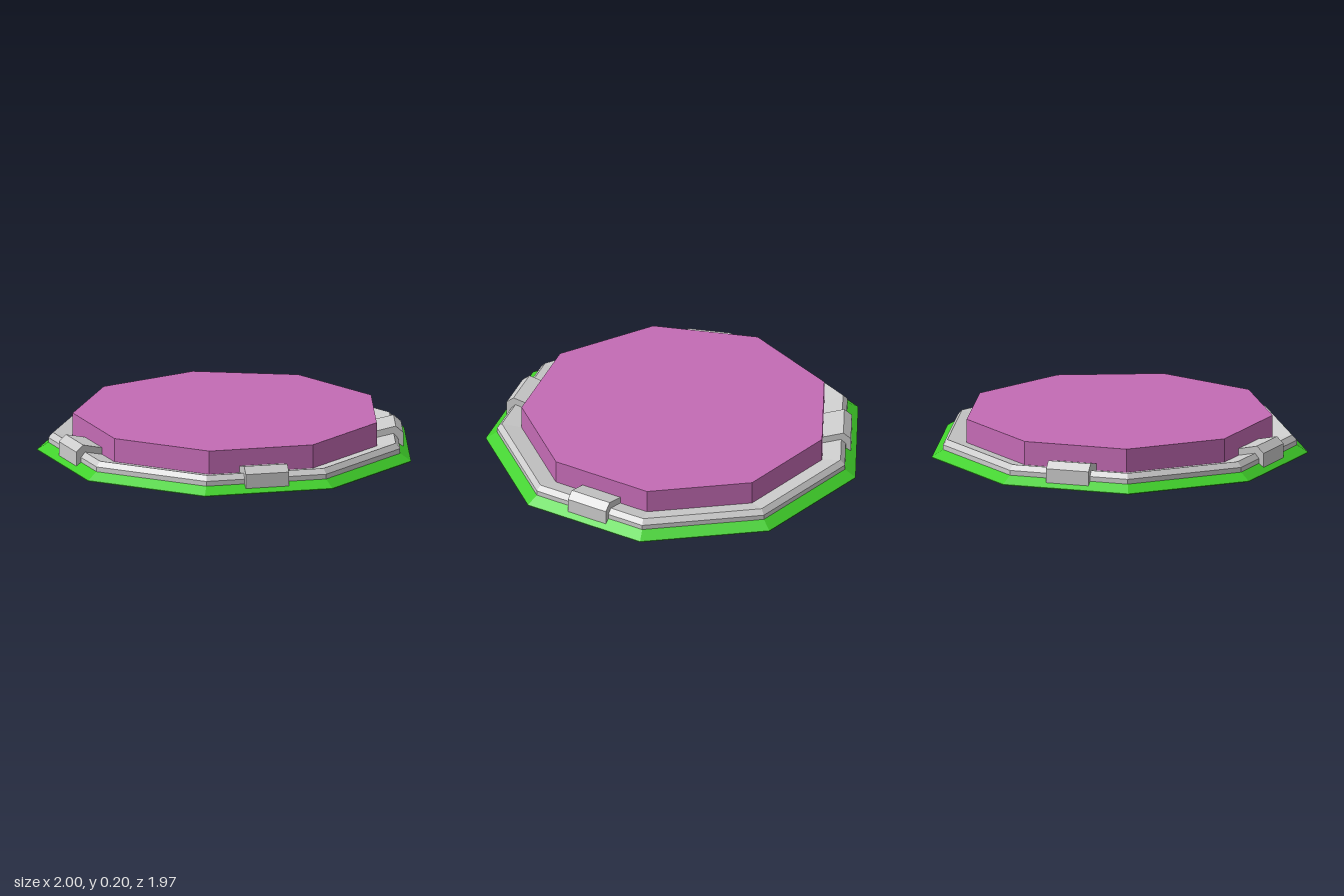
import * as THREE from 'three';

const SIDES = 9;
const CENTRE_Z = 0.03; // a nine-sided ring is not symmetric front to back

const material = (color) => new THREE.MeshStandardMaterial({ color, flatShading: true });

// Nine-sided turned part from [radius, y] pairs, with a corner at the back
function ring(name, profile, mat) {
  const points = profile.map(([r, y]) => new THREE.Vector2(r, y));
  const mesh = new THREE.Mesh(new THREE.LatheGeometry(points, SIDES, Math.PI), mat);
  mesh.name = name;
  return mesh;
}

export function createModel() {
  const model = new THREE.Group();
  model.name = 'platform';
  const body = new THREE.Group();
  body.name = 'body';
  body.position.z = CENTRE_Z;
  model.add(body);

  const grey = material(0xcccccc);
  const green = material(0x40d02a);
  const pink = material(0xc46bb5);

  // Grey underside and sloping green skirt around it
  body.add(ring('underside', [[0, 0], [0.965, 0]], grey));
  body.add(ring('skirt', [[0.965, 0], [1.015, 0], [1.015, 0.004], [0.95, 0.045]], green));

  // Bevelled rim whose top falls gently inwards
  body.add(ring('rim', [[0.955, 0.035], [0.955, 0.068], [0.93, 0.095], [0.815, 0.07]], grey));

  // Raised centre slab
  body.add(ring('slab', [[0.825, 0.04], [0.825, 0.2], [0, 0.2]], pink));

  // Four clamps over the rim, centred on its edges
  const width = 0.235;
  const profile = [[0.76, 0.01], [0.925, 0.01], [0.925, 0.1], [0.885, 0.135], [0.76, 0.105]];
  const shape = new THREE.Shape(profile.map(([r, y]) => new THREE.Vector2(r, y)));
  const clampGeometry = new THREE.ExtrudeGeometry(shape, { depth: width, bevelEnabled: false });
  clampGeometry.translate(0, 0, -width / 2).rotateY(-Math.PI / 2);
  const clamps = { frontLeftClamp: 40, frontRightClamp: -40, backLeftClamp: 120, backRightClamp: -120 };
  for (const [name, degrees] of Object.entries(clamps)) {
    const clamp = new THREE.Mesh(clampGeometry, grey);
    clamp.name = name;
    clamp.rotation.y = THREE.MathUtils.degToRad(degrees);
    body.add(clamp);
  }

  return model;
}
